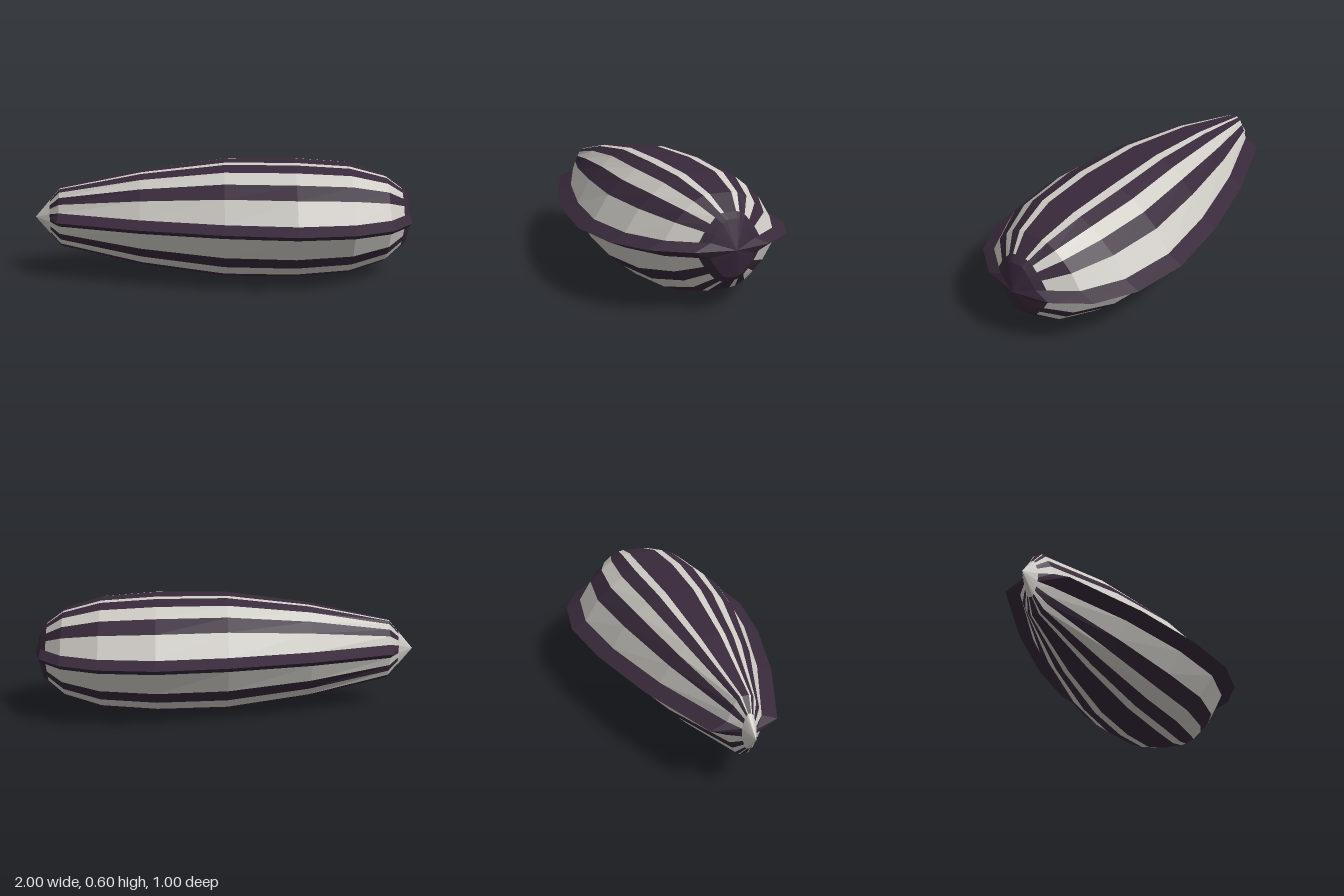
import * as THREE from 'three';

// Stations along the seed: x, body half width, half height, rim overhang, rim half thickness
const STATIONS = [
  [-1, 0, 0, 0, 0],
  [-0.92, 0.035, 0.092, 0, 0.02],
  [-0.865, 0.085, 0.155, 0.08, 0.035],
  [-0.43, 0.255, 0.247, 0.08, 0.035],
  [0, 0.37, 0.3, 0.08, 0.035],
  [0.36, 0.42, 0.3, 0.08, 0.035],
  [0.645, 0.38, 0.28, 0.08, 0.035],
  [0.84, 0.275, 0.225, 0.08, 0.035],
  [0.93, 0.152, 0.158, 0.08, 0.035],
  [0.96, 0.11, 0.133, 0.08, 0.035],
  [1, 0, 0, 0, 0],
];
// Quarter profile from the rim to the top, as fractions of width and height
const QUARTER = [[0.825, 0.5], [0.645, 0.715], [0.485, 0.883], [0.31, 0.98], [0.2, 1]];
const CENTER_Y = 0.3;

// Closed cross-section: +z rim, over the top, -z rim, back underneath
function ring([x, w, h, rim, t]) {
  const quarter = [[w + rim, 0], [w, t], ...QUARTER.map(([u, v]) => [u * w, v * h])];
  const half = [...quarter, ...quarter.slice().reverse().map(([z, y]) => [-z, y])];
  const under = half.slice(1, -1).reverse().map(([z, y]) => [z, -y]);
  return [...half, ...under].map(([z, y]) => new THREE.Vector3(x, CENTER_Y + y, z));
}

function makeMesh(points, material, name) {
  const geometry = new THREE.BufferGeometry().setFromPoints(points);
  geometry.computeVertexNormals(); // unshared corners give flat facets
  const mesh = new THREE.Mesh(geometry, material);
  mesh.name = name;
  return mesh;
}

export function createModel() {
  const darkHull = new THREE.MeshStandardMaterial({ color: 0x38293a });
  darkHull.name = 'darkHull';
  const paleStripe = new THREE.MeshStandardMaterial({ color: 0xcfccc6 });
  paleStripe.name = 'paleStripe';

  const hull = [], stripes = [], tip = [];
  const rings = STATIONS.map(ring);
  const count = rings[0].length;
  for (let s = 0; s < rings.length - 1; s++) {
    const a = rings[s], b = rings[s + 1];
    for (let i = 0; i < count; i++) {
      const j = (i + 1) % count;
      // Bands alternate on each half; the blunt end is all dark
      const pale = (i % 13) % 2 === 1 && STATIONS[s][0] < 0.93;
      const target = s === 0 ? tip : pale ? stripes : hull;
      if (s > 0) target.push(a[i], b[j], a[j]);
      if (s < rings.length - 2) target.push(a[i], b[i], b[j]);
      // The pointed ends close with single triangles
      if (s === rings.length - 2) continue;
    }
  }

  const seed = new THREE.Group();
  seed.name = 'stripedSeed';
  seed.add(
    makeMesh(hull, darkHull, 'hullAndRim'),
    makeMesh(stripes, paleStripe, 'paleStripes'),
    makeMesh(tip, paleStripe, 'pointedTip'),
  );
  return seed;
}
